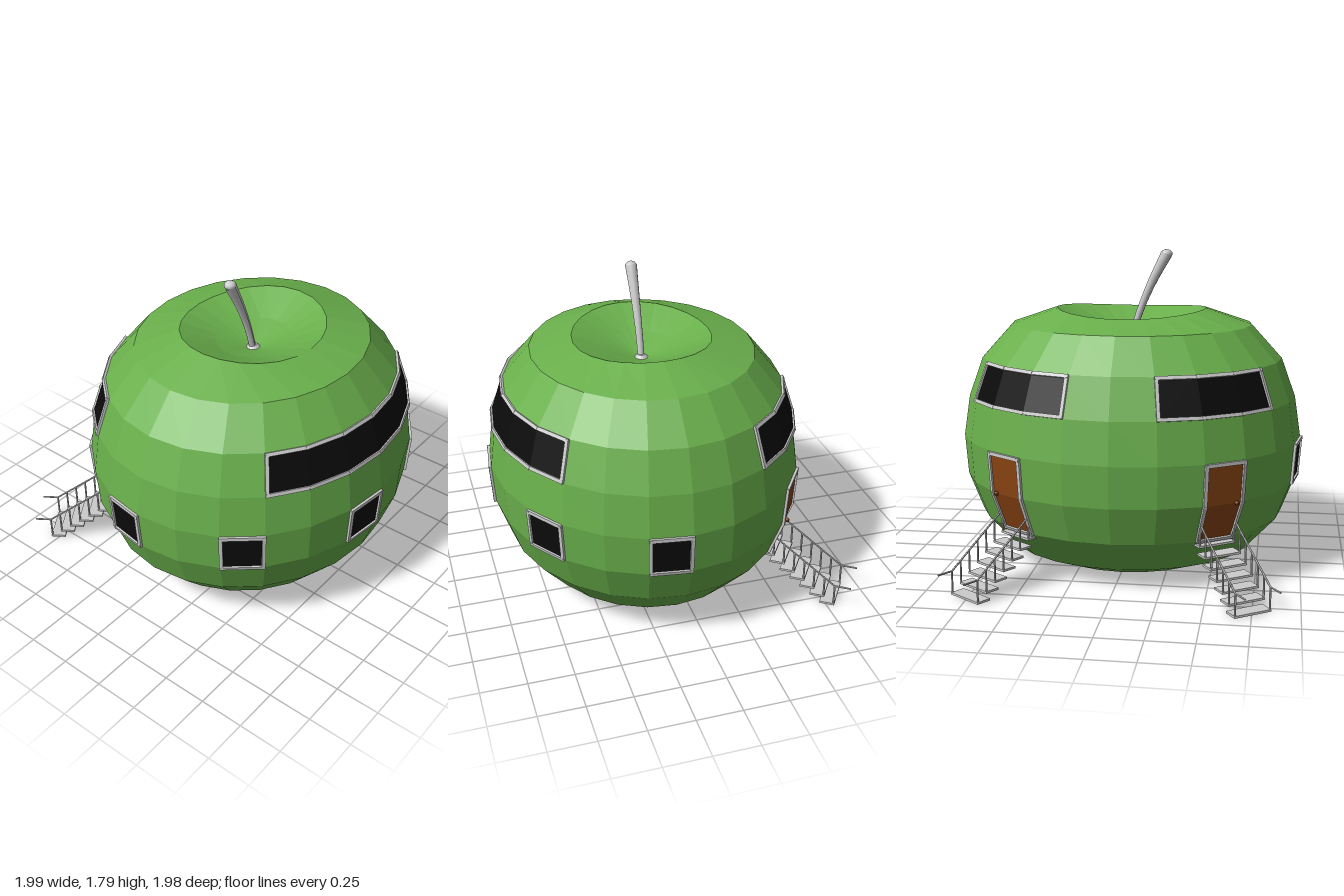
import * as THREE from 'three';

const grey = new THREE.MeshStandardMaterial({ color: 0xcccccc, flatShading: true });
const green = new THREE.MeshStandardMaterial({ color: 0x6ab04c, flatShading: true });
const black = new THREE.MeshStandardMaterial({ color: 0x0b0b0b, side: THREE.DoubleSide, flatShading: true });
const brown = new THREE.MeshStandardMaterial({ color: 0x8b4513, side: THREE.DoubleSide, flatShading: true });

const SEGMENTS = 24, SQUASH = 0.9, CENTRE_Z = 0.1;
// Rows of the shell as [radius, height], from the floor up to the rim
const ROWS = [[0.49, 0.01], [0.70, 0.09], [0.88, 0.285], [0.963, 0.5], [0.98, 0.73],
  [0.945, 0.96], [0.865, 1.18], [0.692, 1.37], [0.43, 1.46]];

function add(parent, name, geometry, material) {
  const mesh = new THREE.Mesh(geometry, material);
  mesh.name = name;
  parent.add(mesh);
  return mesh;
}

function corner(i, j) {
  const a = i / SEGMENTS * Math.PI * 2, [r, y] = ROWS[j];
  return new THREE.Vector3(r * Math.sin(a), y, r * Math.cos(a) * SQUASH + CENTRE_Z);
}

function outward(p) {
  return new THREE.Vector3(p.x / 0.96, (p.y - 0.7) / 0.85, (p.z - CENTRE_Z) / 0.78).normalize();
}

// Point on the faceted shell: u counts segments from the front, v counts rows
function onShell(u, v, offset = 0) {
  const i = Math.floor(u), j = Math.min(Math.floor(v), ROWS.length - 2);
  const low = corner(i, j).lerp(corner(i + 1, j), u - i);
  const high = corner(i, j + 1).lerp(corner(i + 1, j + 1), u - i);
  const p = low.lerp(high, v - j);
  return p.addScaledVector(outward(p), offset);
}

// Bar between two points, its thickness facing out of the shell
function bar(parent, name, a, b, width, thickness, up) {
  const mesh = add(parent, name, new THREE.BoxGeometry(width, thickness, a.distanceTo(b) + width * 0.8), grey);
  mesh.up.copy(up);
  mesh.position.copy(a).lerp(b, 0.5);
  mesh.lookAt(b);
}

// Panel that follows the shell facets, with a raised frame around it
function framedPanel(parent, name, u0, u1, v0, v1, material) {
  const group = new THREE.Group();
  group.name = name;
  parent.add(group);
  const pos = [], index = [], n = u1 - u0 + 1;
  for (let v = v0; v <= v1; v++) {
    for (let u = u0; u <= u1; u++) {
      pos.push(...onShell(u, v, 0.006).toArray());
      if (u < u1 && v < v1) {
        const k = (v - v0) * n + u - u0;
        index.push(k, k + 1, k + n + 1, k, k + n + 1, k + n);
      }
    }
  }
  const geometry = new THREE.BufferGeometry();
  geometry.setAttribute('position', new THREE.Float32BufferAttribute(pos, 3));
  geometry.setIndex(index);
  geometry.computeVertexNormals();
  add(group, name + 'Panel', geometry, material);

  const loop = [];
  for (let u = u0; u < u1; u++) loop.push([u, v0]);
  for (let v = v0; v < v1; v++) loop.push([u1, v]);
  for (let u = u1; u > u0; u--) loop.push([u, v1]);
  for (let v = v1; v > v0; v--) loop.push([u0, v]);
  const points = loop.map(([u, v]) => onShell(
    THREE.MathUtils.clamp(u, u0 + 0.035, u1 - 0.035),
    THREE.MathUtils.clamp(v, v0 + 0.04, v1 - 0.04), 0.005));
  points.forEach((p, k) => {
    const q = points[(k + 1) % points.length];
    bar(group, name + 'Frame', p, q, 0.02, 0.02, outward(p.clone().lerp(q, 0.5)));
  });
  return group;
}

// Flight of open treads leading away along local +z, with railings
function stairs() {
  const group = new THREE.Group();
  group.name = 'stairs';
  const RUN = 0.06, RISE = 0.0435, END = 0.4, RAIL = 0.125;
  const rod = (name, a, b) => {
    const mesh = add(group, name, new THREE.CylinderGeometry(0.0055, 0.0055, a.distanceTo(b), 6), grey);
    mesh.position.copy(a).lerp(b, 0.5);
    mesh.quaternion.setFromUnitVectors(new THREE.Vector3(0, 1, 0), b.clone().sub(a).normalize());
  };
  for (let k = 0; k < 7; k++) {
    const y = 0.006 + k * RISE, z = END - k * RUN;
    add(group, 'tread', new THREE.BoxGeometry(0.22, 0.012, 0.085), grey).position.set(0, y, z - 0.0425);
    for (const x of [-0.105, 0.105]) {
      rod('railPost', new THREE.Vector3(x, y, z - 0.006), new THREE.Vector3(x, y + RAIL, z - 0.006));
    }
  }
  for (const x of [-0.105, 0.105]) {
    const foot = new THREE.Vector3(x, 0.006 + RAIL, END - 0.006);
    rod('handrail', new THREE.Vector3(x, foot.y + 6 * RISE, foot.z - 6 * RUN), foot);
    rod('handrailEnd', foot, new THREE.Vector3(x, foot.y, END + 0.085));
  }
  return group;
}

// Curved stem that thickens towards its tip
function stem(parent) {
  const curve = new THREE.CatmullRomCurve3([[0, 1.28], [-0.045, 1.43], [-0.115, 1.6], [-0.2, 1.765]]
    .map(([x, y]) => new THREE.Vector3(x, y, CENTRE_Z)));
  const steps = 10, sides = 10;
  const geometry = new THREE.TubeGeometry(curve, steps, 1, sides);
  const pos = geometry.attributes.position, p = new THREE.Vector3();
  for (let k = 0; k < pos.count; k++) {
    const t = Math.floor(k / (sides + 1)) / steps, c = curve.getPointAt(t);
    p.fromBufferAttribute(pos, k).sub(c).multiplyScalar(0.019 + 0.015 * t * t).add(c);
    pos.setXYZ(k, p.x, p.y, p.z);
  }
  geometry.computeVertexNormals();
  const smooth = grey.clone();
  smooth.flatShading = false;
  add(parent, 'stem', geometry, smooth);
  const tip = add(parent, 'stemTip', new THREE.SphereGeometry(0.034, 10, 8), smooth);
  tip.position.set(-0.2, 1.765, CENTRE_Z);
  tip.scale.y = 0.75;
  add(parent, 'stemBase', new THREE.CylinderGeometry(0.022, 0.05, 0.03, 16), grey).position.set(0, 1.3, CENTRE_Z);
}

export function createModel() {
  const model = new THREE.Group();
  model.name = 'appleHouse';

  // Shell with a hollow top and a gently dipping rim
  const profile = [[0, 0.01], ...ROWS, [0.22, 1.36], [0, 1.285]].map(([r, y]) => new THREE.Vector2(r, y));
  const shell = new THREE.LatheGeometry(profile, SEGMENTS);
  const pos = shell.attributes.position;
  for (let k = 0; k < pos.count; k++) {
    if (pos.getY(k) > 1.4) pos.setY(k, 1.46 - 0.03 * (pos.getZ(k) / 0.43) ** 2);
  }
  shell.scale(1, 1, SQUASH).translate(0, 0, CENTRE_Z);
  add(model, 'shell', shell, green);
  add(model, 'floorDisc', new THREE.CylinderGeometry(0.05, 0.05, 0.008, 16), grey).position.set(0, 0.008, CENTRE_Z);
  stem(model);

  // Wide upper windows: one in front, two behind
  framedPanel(model, 'frontWindow', -3, 3, 5, 6, black);
  framedPanel(model, 'backWindowLeft', 8, 11, 5, 6, black);
  framedPanel(model, 'backWindowRight', -11, -8, 5, 6, black);

  // Small lower windows
  for (const u of [-7, -4, -1, 2, 5]) framedPanel(model, 'smallWindow', u, u + 1, 3, 4, black);

  // Back doors with knobs and stairs
  for (const s of [1, -1]) {
    const door = framedPanel(model, s > 0 ? 'doorLeft' : 'doorRight', s > 0 ? 9 : -10, s > 0 ? 10 : -9, 2, 4, brown);
    add(door, 'doorKnob', new THREE.SphereGeometry(0.013, 10, 8), brown)
      .position.copy(onShell(s * 9.2, 3.02, 0.018));
    const flight = stairs();
    const sill = onShell(s * 9.5, 2);
    flight.position.set(sill.x, 0, sill.z);
    flight.rotation.y = Math.atan2(s * 0.567, -0.823);
    model.add(flight);
  }
  return model;
}
